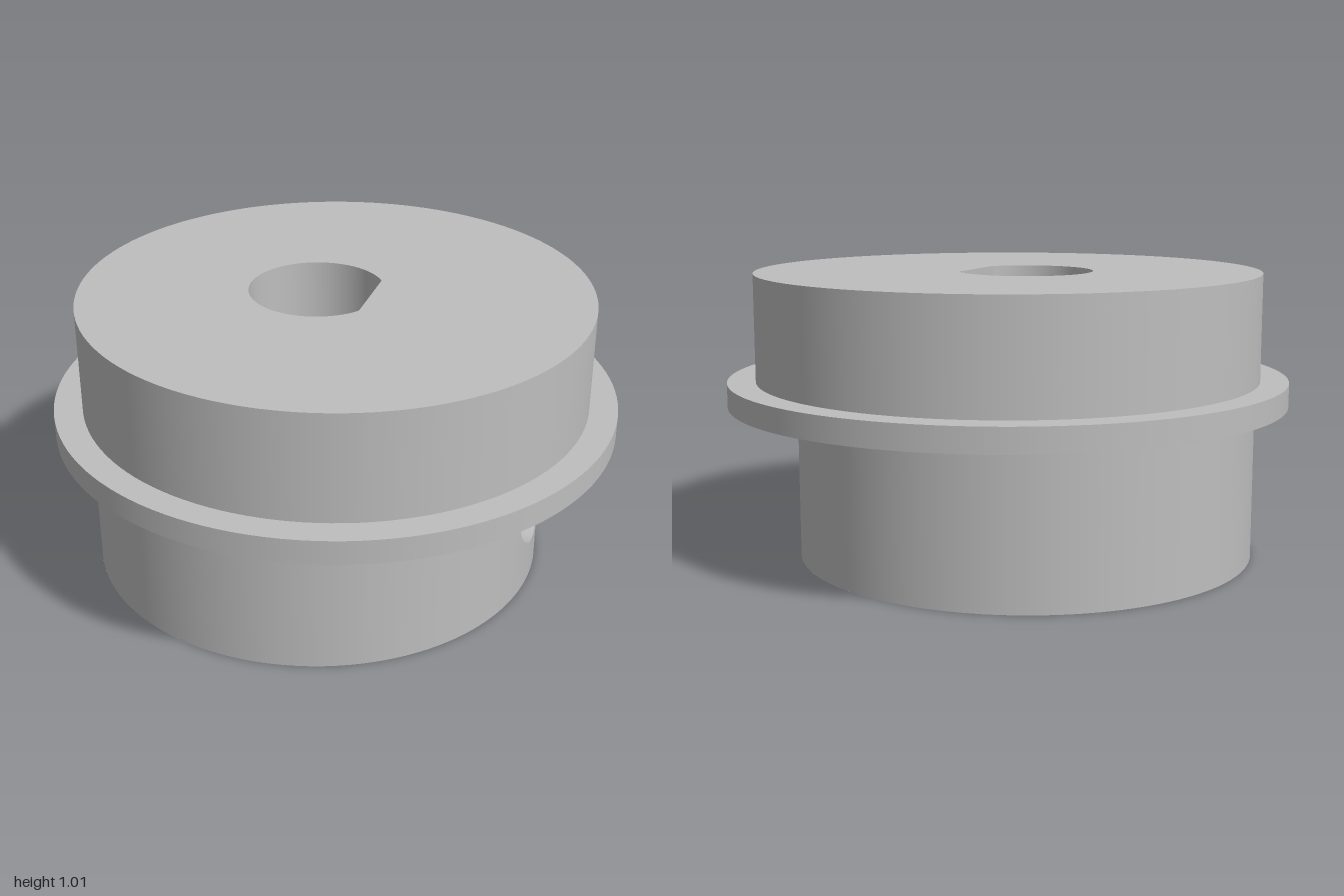
import * as THREE from 'three';
import { ParametricGeometry } from 'three/addons/geometries/ParametricGeometry.js';

const OFF = -0.07;                            // offset of hub and bore from the rim axis
const RIM = 0.9, FLANGE = 1, HUB = 0.815, BORE = 0.238, FLAT = 0.125;
const Y_HUB = 0.545, Y_FLANGE = 0.63, Y_TOP = 1.01;
const HOLE_Y = 0.31, HOLE_R = 0.165;          // side screw hole
const SLOT = { x0: 0.387, x1: 0.624, z: 0.3, top: 0.485 };

// x of the +x side of each surface at a given z
const hubX = z => OFF + Math.sqrt(HUB * HUB - z * z);
const boreX = z => Math.min(FLAT, OFF + Math.sqrt(BORE * BORE - z * z));

export function createModel() {
  const group = new THREE.Group();
  const grey = new THREE.MeshStandardMaterial({ color: 0xbebebe, side: THREE.DoubleSide });
  grey.name = 'grey';
  const add = (name, geometry) => {
    const mesh = new THREE.Mesh(geometry, grey);
    mesh.name = name;
    group.add(mesh);
    return mesh;
  };

  // Open cylinder wall; gap is the half angle left open towards +x
  const wall = (name, r, y0, y1, cx = 0, gap = 0) => add(name,
    new THREE.CylinderGeometry(r, r, y1 - y0, 128, 1, true, Math.PI / 2 + gap, 2 * Math.PI - 2 * gap)
      .translate(cx, (y0 + y1) / 2, 0));

  // Patch between the round screw hole and a rectangle, bent onto x = fx(z)
  const holedPatch = (name, fx, zHalf, y0, y1) => add(name, new ParametricGeometry((u, v, p) => {
    const side = Math.min(3, Math.floor(u * 4)), t = u * 4 - side;
    const a = -zHalf + 2 * zHalf * t, b = y0 + (y1 - y0) * t;
    const [z, y] = [[a, y0], [zHalf, b], [-a, y1], [-zHalf, y0 + y1 - b]][side];
    const k = HOLE_R / Math.hypot(z, y - HOLE_Y);
    const s = k + (1 - k) * v;
    const pz = z * s;
    p.set(fx(pz), HOLE_Y + (y - HOLE_Y) * s, pz);
  }, 96, 12));

  // Round tunnel between two surfaces
  const tunnel = (name, fa, fb) => add(name, new ParametricGeometry((u, v, p) => {
    const t = u * 2 * Math.PI, z = HOLE_R * Math.cos(t);
    p.set(fa(z) * (1 - v) + fb(z) * v, HOLE_Y + HOLE_R * Math.sin(t), z);
  }, 64, 2));

  // Horizontal faces with holes
  const circle = (r, cx = 0, Type = THREE.Path) => new Type().absarc(cx, 0, r, 0, 2 * Math.PI);
  const dPath = () => {
    const a = Math.acos((FLAT - OFF) / BORE);
    const path = new THREE.Path().absarc(OFF, 0, BORE, a, 2 * Math.PI - a);
    path.closePath();
    return path;
  };
  const face = (name, r, cx, y, up, holes) => {
    const shape = circle(r, cx, THREE.Shape);
    shape.holes.push(...holes);
    add(name, new THREE.ShapeGeometry(shape, 64).rotateX(up ? -Math.PI / 2 : Math.PI / 2).translate(0, y, 0));
  };

  // Rim and flange
  wall('rimWall', RIM, Y_FLANGE, Y_TOP);
  wall('flangeEdge', FLANGE, Y_HUB, Y_FLANGE);
  face('rimTop', RIM, 0, Y_TOP, true, [dPath()]);
  face('flangeTop', FLANGE, 0, Y_FLANGE, true, [circle(RIM)]);
  face('flangeUnderside', FLANGE, 0, Y_HUB, false, [circle(HUB, OFF)]);

  // Off-centre hub with the screw hole in its +x side
  wall('hubWall', HUB, 0, Y_HUB, OFF, Math.asin(0.3 / HUB));
  holedPatch('hubHolePatch', hubX, 0.3, 0, Y_HUB);
  const { x0, x1, z: sz, top } = SLOT;
  const slotPath = new THREE.Path([[x0, -sz], [x1, -sz], [x1, sz], [x0, sz]]
    .map(([x, y]) => new THREE.Vector2(x, y)));
  slotPath.closePath();
  face('hubBottom', HUB, OFF, 0, false, [dPath(), slotPath]);

  // D-shaped bore
  wall('boreWall', BORE, 0, Y_TOP, OFF, Math.asin(0.2 / BORE));
  holedPatch('boreFlat', boreX, 0.2, 0, Y_TOP);

  // Nut slot open at the bottom
  holedPatch('slotInnerWall', () => x0, sz, 0, top);
  holedPatch('slotOuterWall', () => x1, sz, 0, top);
  for (const s of [-1, 1]) {
    const end = new THREE.PlaneGeometry(x1 - x0, top);
    if (s > 0) end.rotateY(Math.PI);
    add('slotEnd', end.translate((x0 + x1) / 2, top / 2, s * sz));
  }
  add('slotCeiling', new THREE.PlaneGeometry(x1 - x0, 2 * sz)
    .rotateX(Math.PI / 2).translate((x0 + x1) / 2, top, 0));

  // Screw hole either side of the slot
  tunnel('screwHoleOuter', hubX, () => x1);
  tunnel('screwHoleInner', () => x0, boreX);

  return group;
}
